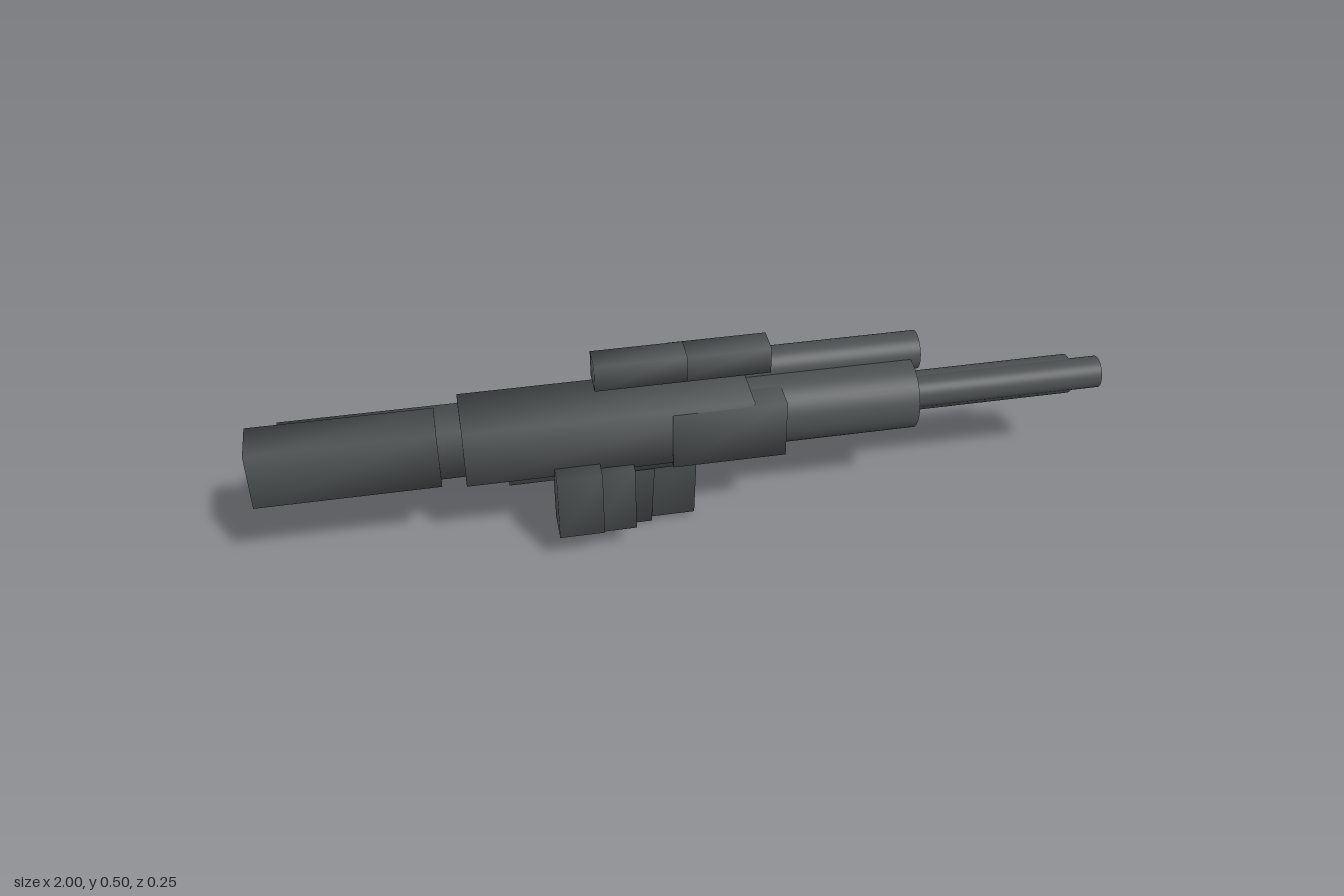
import * as THREE from 'three';
import { mergeVertices } from 'three/addons/utils/BufferGeometryUtils.js';

const gunmetal = new THREE.MeshStandardMaterial({ color: 0x4b4f4f });
gunmetal.name = 'gunmetal';

// Weld shared corners so that shading blends across every edge
function soften(geometry) {
  geometry.deleteAttribute('normal');
  geometry.deleteAttribute('uv');
  const welded = mergeVertices(geometry);
  welded.computeVertexNormals();
  return welded;
}

function addMesh(group, name, geometry) {
  const mesh = new THREE.Mesh(soften(geometry), gunmetal);
  mesh.name = name;
  group.add(mesh);
  return mesh;
}

// Box given by its extents along x, y and z
function block(group, name, [x0, x1], [y0, y1], [z0, z1]) {
  const mesh = addMesh(group, name, new THREE.BoxGeometry(x1 - x0, y1 - y0, z1 - z0));
  mesh.position.set((x0 + x1) / 2, (y0 + y1) / 2, (z0 + z1) / 2);
}

// Cylinder lying along x
function rod(group, name, [x0, x1], y, z, radius) {
  const geometry = new THREE.CylinderGeometry(radius, radius, x1 - x0, 48);
  geometry.rotateZ(-Math.PI / 2);
  addMesh(group, name, geometry).position.set((x0 + x1) / 2, y, z);
}

// Box leaning about x, placed by the middle of its bottom face
function leaningBlock(group, name, [x0, x1], y, z, height, depth, lean) {
  const geometry = new THREE.BoxGeometry(x1 - x0, height, depth);
  geometry.translate(0, height / 2, 0);
  const mesh = addMesh(group, name, geometry);
  mesh.position.set((x0 + x1) / 2, y, z);
  mesh.rotation.x = lean;
}

export function createModel() {
  const model = new THREE.Group();
  model.name = 'rifle';

  // Stock, two offset blocks
  block(model, 'stock', [-1, -0.58], [0.238, 0.385], [-0.04, 0.065]);
  block(model, 'stockInner', [-0.932, -0.5], [0.233, 0.362], [-0.08, 0.032]);

  // Receiver, overlapping blocks
  block(model, 'receiver', [-0.525, 0.14], [0.242, 0.388], [-0.078, 0.08]);
  block(model, 'receiverFront', [-0.05, 0.216], [0.23, 0.377], [-0.07, 0.083]);
  block(model, 'receiverLower', [-0.428, 0.22], [0.217, 0.362], [-0.096, 0.063]);

  // Handguard and barrel
  rod(model, 'handguard', [0.08, 0.54], 0.297, -0.016, 0.085);
  rod(model, 'barrel', [0.45, 0.932], 0.299, -0.016, 0.047);
  rod(model, 'muzzle', [0.5, 1], 0.31, 0.004, 0.038);

  // Side tube and sight
  rod(model, 'sideTube', [-0.028, 0.565], 0.376, -0.076, 0.046);
  block(model, 'sightRear', [-0.22, -0.008], [0.436, 0.502], [-0.029, 0.036]);
  block(model, 'sightFront', [-0.04, 0.19], [0.422, 0.488], [-0.05, 0.017]);

  // Side pouches
  block(model, 'sideBlockRear', [-0.325, -0.22], [0.092, 0.263], [0.045, 0.123]);
  block(model, 'sideBlockFront', [-0.25, -0.142], [0.078, 0.25], [0.025, 0.103]);

  // Grip and magazine, leaning sideways
  leaningBlock(model, 'grip', [-0.245, -0.09], 0.012, -0.034, 0.23, 0.067, 0.28);
  leaningBlock(model, 'magazine', [-0.13, 0.015], 0.021, -0.034, 0.22, 0.065, 0.15);

  return model;
}
